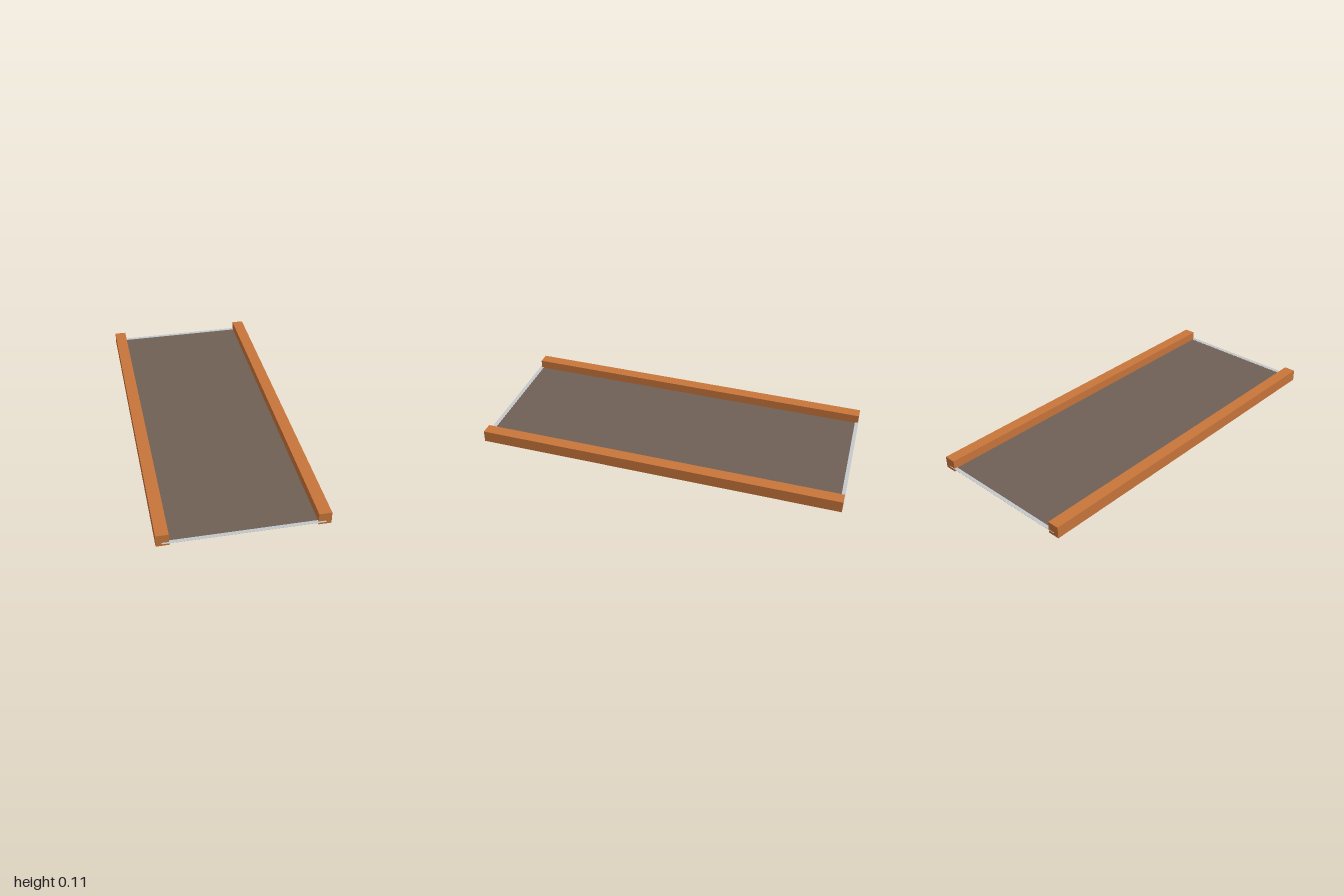
import * as THREE from 'three';

export function createModel() {
  const orange = new THREE.MeshStandardMaterial({ color: 0xc8753a });
  orange.name = 'orange rail';
  const brown = new THREE.MeshStandardMaterial({ color: 0x6f6055 });
  brown.name = 'grey brown deck';
  const pale = new THREE.MeshStandardMaterial({ color: 0xc4c8ca });
  pale.name = 'pale end trim';

  const model = new THREE.Group();
  model.name = 'ramp';

  // Everything sits on a frame that rises toward the front and leans slightly
  const frame = new THREE.Group();
  frame.name = 'tiltedFrame';
  frame.position.y = 0.0255;
  frame.rotation.set(-0.0225, 0, 0.0065);
  model.add(frame);

  // Box placed by its centre x, underside y and centre z
  const box = (name, material, [w, h, d], [x, y, z]) => {
    const mesh = new THREE.Mesh(new THREE.BoxGeometry(w, h, d), material);
    mesh.name = name;
    mesh.position.set(x, y + h / 2, z);
    frame.add(mesh);
  };

  // Deck, its edges tucked into the rails
  box('deck', brown, [0.78, 0.0155, 1.967], [0, -0.0005, -0.003]);

  // Square side rails
  for (const [side, s] of [['left', 1], ['right', -1]]) {
    box(`${side}Rail`, orange, [0.065, 0.064, 1.988], [s * 0.3965, 0, -0.003]);
  }

  // Thin trim strips projecting beyond both ends of the deck
  for (const [end, s] of [['front', 1], ['back', -1]]) {
    box(`${end}Trim`, pale, [0.8, 0.001, 0.02], [0, 0.0175, s * 0.99]);
  }

  return model;
}
